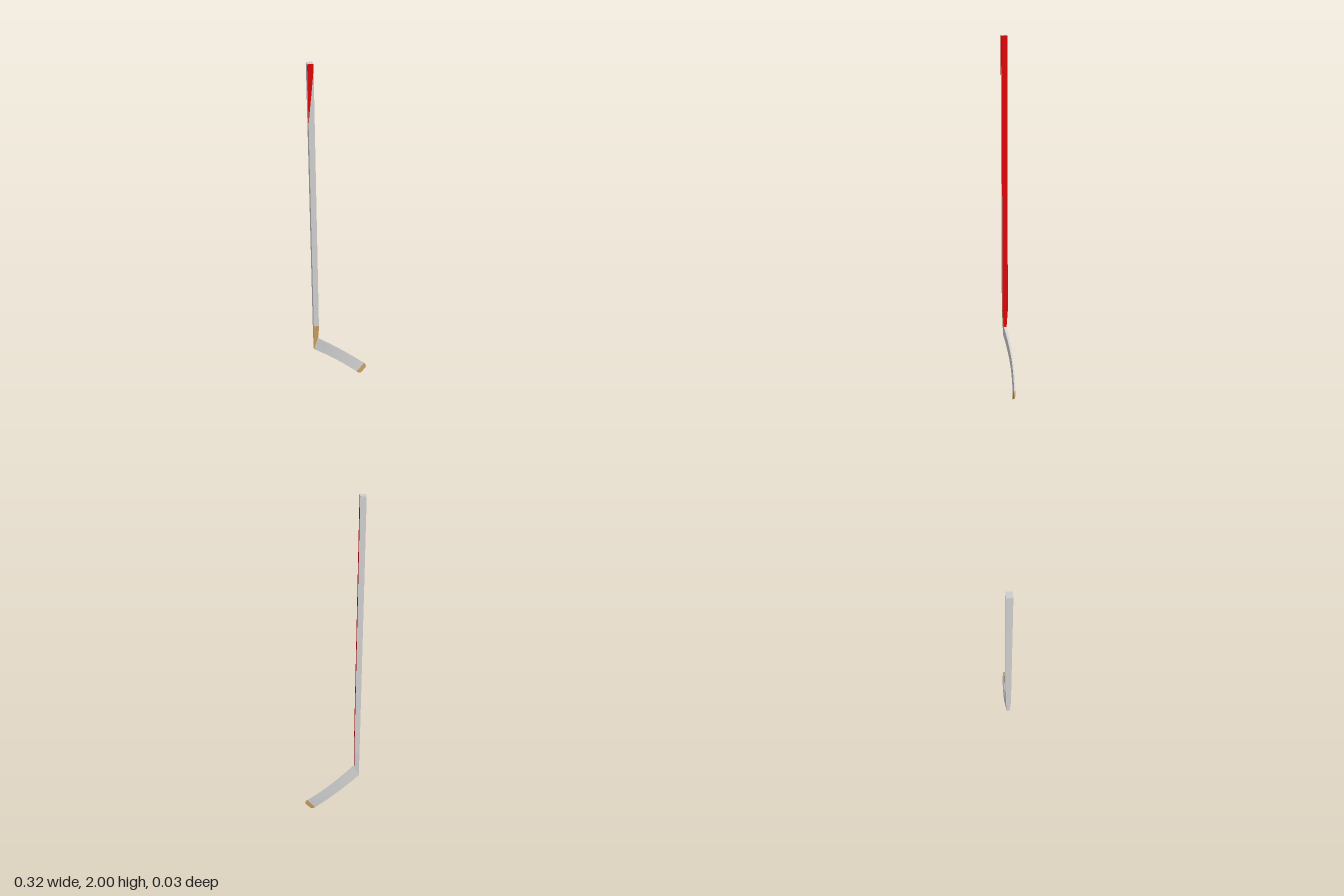
import * as THREE from 'three';

const grey = new THREE.MeshStandardMaterial({ color: 0xcccccc });
grey.name = 'light grey';
const red = new THREE.MeshStandardMaterial({ color: 0xdd0508 });
red.name = 'red';
const tan = new THREE.MeshStandardMaterial({ color: 0xc69c5c });
tan.name = 'tan';

// Shaft extents, neck start, and the heel and tip edges of the blade
const L = -0.161, R = -0.131, D = 0.015, TOP = 2, NECK = 0.435;
const HEEL = { low: [L, 0.257], high: [-0.134, 0.325] };
const TIP = { low: [0.121, -0.0066], high: [0.166, 0.05] };
const HEEL_HALF = 0.008, TIP_HALF = 0.004;
const mix = THREE.MathUtils.lerp;

function makeMesh(name, material, points, index) {
  const g = new THREE.BufferGeometry();
  g.setAttribute('position', new THREE.Float32BufferAttribute(points.flat(), 3));
  g.setIndex(index);
  g.computeVertexNormals();
  const mesh = new THREE.Mesh(g, material);
  mesh.name = name;
  return mesh;
}

// Convex flat face, corners counter-clockwise from outside
function panel(name, material, ...points) {
  const index = [];
  for (let i = 1; i < points.length - 1; i++) index.push(0, i, i + 1);
  return makeMesh(name, material, points, index);
}

// Blade section at t: front low, front high, back high, back low
function section(t) {
  const bow = -0.0145 * 4 * t * (1 - t);
  const half = mix(HEEL_HALF, TIP_HALF, Math.min(1, t * 2));
  const pull = 0.12 * Math.max(0, (t - 0.96) / 0.04); // rounds the toe corners
  const low = HEEL.low.map((v, i) => mix(v, TIP.low[i], t));
  const high = HEEL.high.map((v, i) => mix(v, TIP.high[i], t));
  const a = low.map((v, i) => mix(v, high[i], pull));
  const b = low.map((v, i) => mix(v, high[i], 1 - pull));
  return [[...a, bow + half], [...b, bow + half], [...b, bow - half], [...a, bow - half]];
}

// Four smooth sides between two places along the blade
function bladePart(name, material, t0, t1, steps) {
  const group = new THREE.Group();
  group.name = name;
  const rings = Array.from({ length: steps + 1 }, (_, i) => section(mix(t0, t1, i / steps)));
  ['Front', 'Top', 'Back', 'Bottom'].forEach((side, k) => {
    const points = rings.flatMap(r => [r[k], r[(k + 1) % 4]]);
    const index = [];
    for (let i = 0; i < steps; i++) {
      const a = i * 2;
      index.push(a, a + 2, a + 1, a + 1, a + 2, a + 3);
    }
    group.add(makeMesh(name + side, material, points, index));
  });
  return group;
}

export function createModel() {
  const model = new THREE.Group();
  model.name = 'hockeyStick';

  // Shaft: grey with a red inner side and a red wedge at the top of the front
  const shaft = new THREE.Group();
  shaft.name = 'shaft';
  const W = 1.7, V = 1.97;
  shaft.add(
    panel('shaftFront', grey, [L, NECK, D], [R, NECK, D], [R, V, D], [L, W, D]),
    panel('shaftWedge', red, [L, W, D], [R, V, D], [R, TOP, D], [L, TOP, D]),
    panel('shaftInnerSide', red, [R, NECK, D], [R, NECK, -D], [R, TOP, -D], [R, TOP, D]),
    panel('shaftBack', grey, [R, NECK, -D], [L, NECK, -D], [L, TOP, -D], [R, TOP, -D]),
    panel('shaftOuterSide', grey, [L, NECK, -D], [L, NECK, D], [L, TOP, D], [L, TOP, -D]),
    panel('shaftCap', grey, [L, TOP, D], [R, TOP, D], [R, TOP, -D], [L, TOP, -D])
  );

  // Neck: tapers from the square shaft to the thin heel of the blade
  const neck = new THREE.Group();
  neck.name = 'neck';
  const [fl, fh, bh, bl] = section(0);
  const s = (NECK - 0.36) / (NECK - fh[1]);
  const split = [mix(R, fh[0], s), 0.36, mix(D, fh[2], s)];
  neck.add(
    panel('neckPatch', tan, [L, NECK, D], fl, split, [R, NECK, D]),
    panel('neckFront', grey, fl, fh, split),
    panel('neckInnerSide', red, fh, bh, [R, NECK, -D], [R, NECK, D]),
    panel('neckBack', grey, bh, bl, [L, NECK, -D], [R, NECK, -D]),
    panel('neckOuterSide', grey, bl, fl, [L, NECK, D], [L, NECK, -D])
  );

  // Curved blade with a tan toe
  const [a, b, c, d] = section(1);
  model.add(shaft, neck,
    bladePart('blade', grey, 0, 0.93, 24),
    bladePart('toe', tan, 0.93, 1, 7),
    panel('toeEnd', tan, a, d, c, b));
  return model;
}
